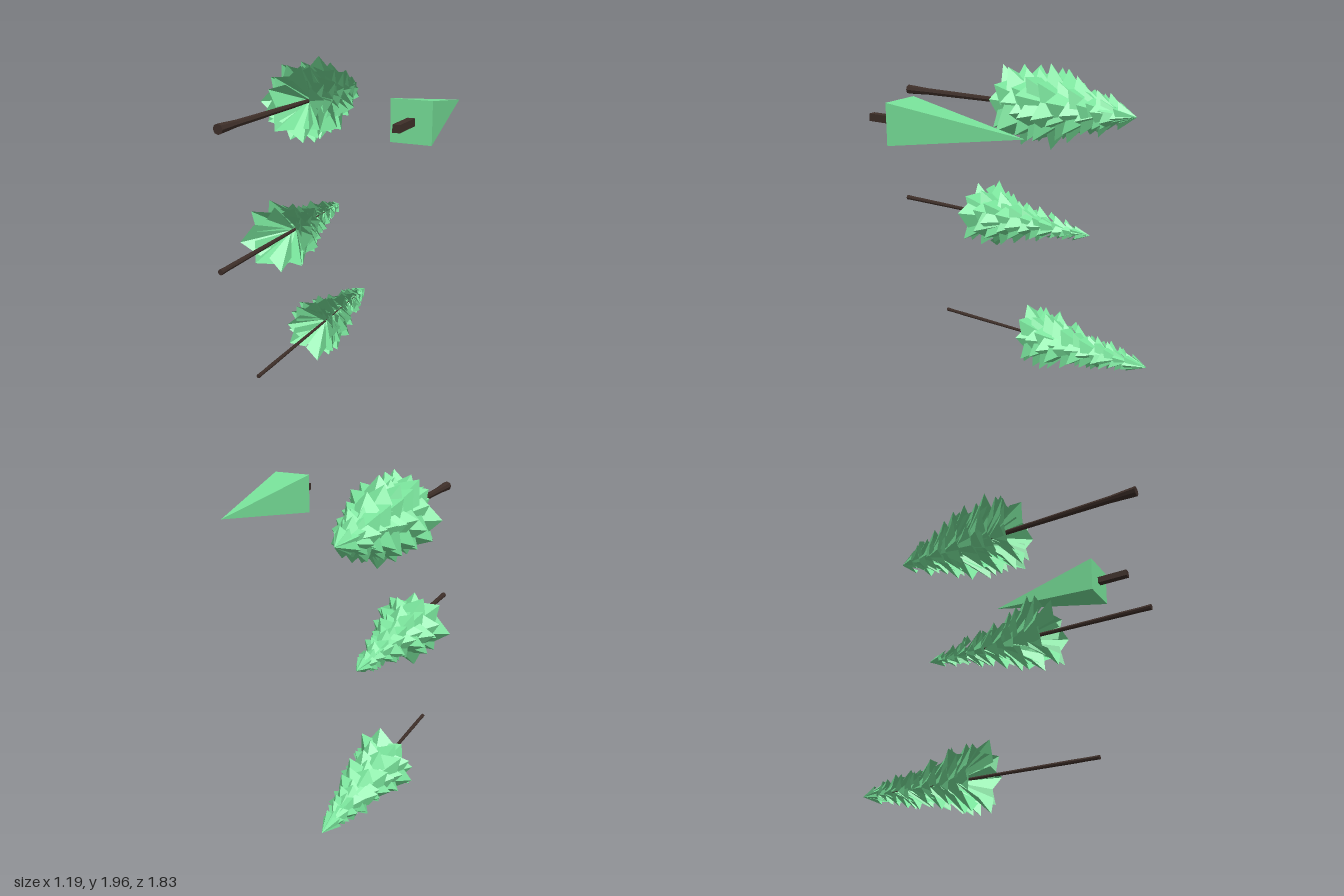
import * as THREE from 'three';

const green = new THREE.MeshStandardMaterial({ color: 0x78e29a, flatShading: true, side: THREE.DoubleSide });
const brown = new THREE.MeshStandardMaterial({ color: 0x3e2f29, flatShading: true });

// Small seeded generator for the irregular foliage
function seeded(seed) {
  let s = seed;
  return () => {
    s = (s * 16807) % 2147483647;
    return s / 2147483647;
  };
}

function named(geometry, material, name) {
  const mesh = new THREE.Mesh(geometry, material);
  mesh.name = name;
  return mesh;
}

// Folded kite leaves in drooping tiers; each tier is [height of leaf tips, radius].
// The last tier closes to the pointed top.
function foliageGeometry(tiers, top, leaves, seed) {
  const rand = seeded(seed);
  const pos = [];
  const up = new THREE.Vector3(0, 1, 0);
  tiers.forEach(([h, radius], t) => {
    const last = t === tiers.length - 1;
    for (let i = 0; i < leaves; i++) {
      const angle = ((i + t * 0.5 + (rand() - 0.5) * 0.6) / leaves) * Math.PI * 2;
      const R = radius * (0.76 + 0.24 * rand());
      const y = h + (rand() - 0.4) * 0.04;
      const drop = last ? top - y : Math.min(radius * (0.65 + 0.2 * rand()) + 0.03, top - y);
      const w = R * (0.34 + 0.1 * rand());
      const v = (x, dy, z) => new THREE.Vector3(x, y + dy, z).applyAxisAngle(up, angle);
      const root = v(0, drop, 0);
      const tip = v(R, 0, 0);
      const left = v(R * 0.57, drop * 0.1, -w);
      const right = v(R * 0.57, drop * 0.1, w);
      for (const p of [root, tip, left, root, right, tip]) pos.push(p.x, p.y, p.z);
    }
  });
  const g = new THREE.BufferGeometry();
  g.setAttribute('position', new THREE.Float32BufferAttribute(pos, 3));
  g.computeVertexNormals();
  return g;
}

// A tree built upright, then laid down with its top towards the back
function spikyTree({ name, x, y, base, top, r, flare, tiers, leaves, seed }) {
  const tree = new THREE.Group();
  tree.name = name;
  const len = top - base;
  const profile = [[0, 0], [r * flare, 0], [r * flare * 0.9, 0.06], [r, 0.1 * len], [r * 0.7, 0.5 * len], [0, 0.97 * len]]
    .map(([a, b]) => new THREE.Vector2(a, base + b));
  tree.add(named(new THREE.LatheGeometry(profile, 8), brown, 'trunk'));
  tree.add(named(foliageGeometry(tiers, top, leaves, seed), green, 'foliage'));
  tree.position.set(x, y, 0);
  tree.rotation.x = -Math.PI / 2;
  return tree;
}

// Simplified tree: square pyramid on a box trunk
function simpleTree() {
  const tree = new THREE.Group();
  tree.name = 'simpleTree';
  const cone = new THREE.ConeGeometry(0.117 * Math.SQRT2, 0.795, 4, 1);
  cone.rotateY(Math.PI / 4);
  cone.translate(0, 0.1175, 0);
  tree.add(named(cone, green, 'pyramidFoliage'));
  const trunk = new THREE.BoxGeometry(0.042, 0.205, 0.042);
  trunk.translate(0, -0.3825, 0);
  tree.add(named(trunk, brown, 'boxTrunk'));
  tree.position.set(0.478, 1.725, 0);
  tree.rotation.x = -Math.PI / 2;
  return tree;
}

export function createModel() {
  const model = new THREE.Group();
  model.name = 'treeSet';

  model.add(spikyTree({
    name: 'wideTree', x: -0.322, y: 1.725, base: -0.875, top: 0.75, r: 0.021, flare: 1.4, leaves: 9, seed: 11,
    tiers: [[-0.1, 0.24], [-0.04, 0.28], [0.04, 0.28], [0.11, 0.265], [0.19, 0.26], [0.27, 0.23],
      [0.35, 0.21], [0.43, 0.175], [0.5, 0.15], [0.56, 0.125], [0.62, 0.09]],
  }));

  model.add(spikyTree({
    name: 'narrowTree', x: -0.322, y: 0.975, base: -0.915, top: 0.49, r: 0.015, flare: 1.1, leaves: 8, seed: 29,
    tiers: [[-0.34, 0.25], [-0.24, 0.245], [-0.17, 0.21], [-0.1, 0.18], [-0.03, 0.16], [0.04, 0.14],
      [0.11, 0.125], [0.18, 0.11], [0.25, 0.09], [0.32, 0.075], [0.38, 0.055]],
  }));

  model.add(spikyTree({
    name: 'slenderTree', x: -0.322, y: 0.21, base: -0.59, top: 0.91, r: 0.012, flare: 1, leaves: 8, seed: 47,
    tiers: [[0.08, 0.23], [0.15, 0.22], [0.21, 0.21], [0.28, 0.19], [0.35, 0.175], [0.42, 0.155],
      [0.49, 0.14], [0.56, 0.125], [0.63, 0.11], [0.7, 0.09], [0.77, 0.07]],
  }));

  model.add(simpleTree());
  return model;
}
